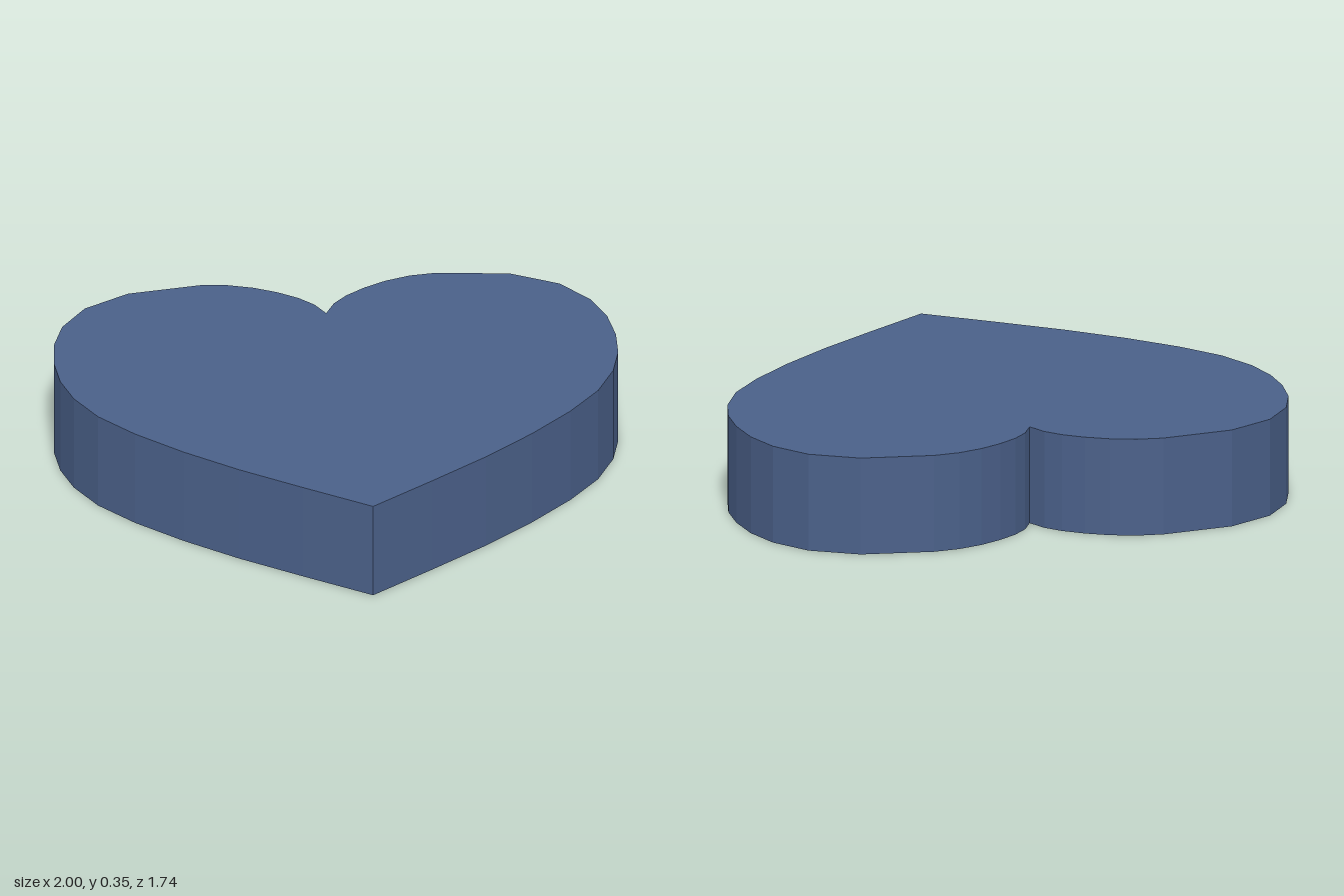
import * as THREE from 'three';

const HEIGHT = 0.355;

// Right half of the outline as [x, z], from the rear notch round to the front tip
const half = [
  [0, -0.61], [0.035, -0.68], [0.085, -0.735], [0.155, -0.787], [0.235, -0.83],
  [0.325, -0.86], [0.42, -0.87], [0.68, -0.835], [0.845, -0.74], [0.94, -0.61],
  [0.985, -0.475], [1, -0.335], [0.993, -0.2], [0.96, -0.065], [0.89, 0.08],
  [0.775, 0.225], [0.62, 0.38], [0.44, 0.535], [0.23, 0.695], [0, 0.865],
];

export function createModel() {
  const group = new THREE.Group();
  group.name = 'heart';

  // Mirror the half, leaving out the shared notch and tip
  const mirrored = half.slice(1, -1).reverse().map(([x, z]) => [-x, z]);
  const outline = [...half, ...mirrored].map(([x, z]) => new THREE.Vector2(x, z));

  // Extrude the outline and lay it flat on the ground
  const geometry = new THREE.ExtrudeGeometry(new THREE.Shape(outline), {
    depth: HEIGHT, bevelEnabled: false,
  });
  geometry.rotateX(Math.PI / 2);
  geometry.translate(0, HEIGHT, 0);

  const material = new THREE.MeshStandardMaterial({ color: 0x4a6089, flatShading: true });
  const slab = new THREE.Mesh(geometry, material);
  slab.name = 'heartSlab';
  group.add(slab);
  return group;
}
